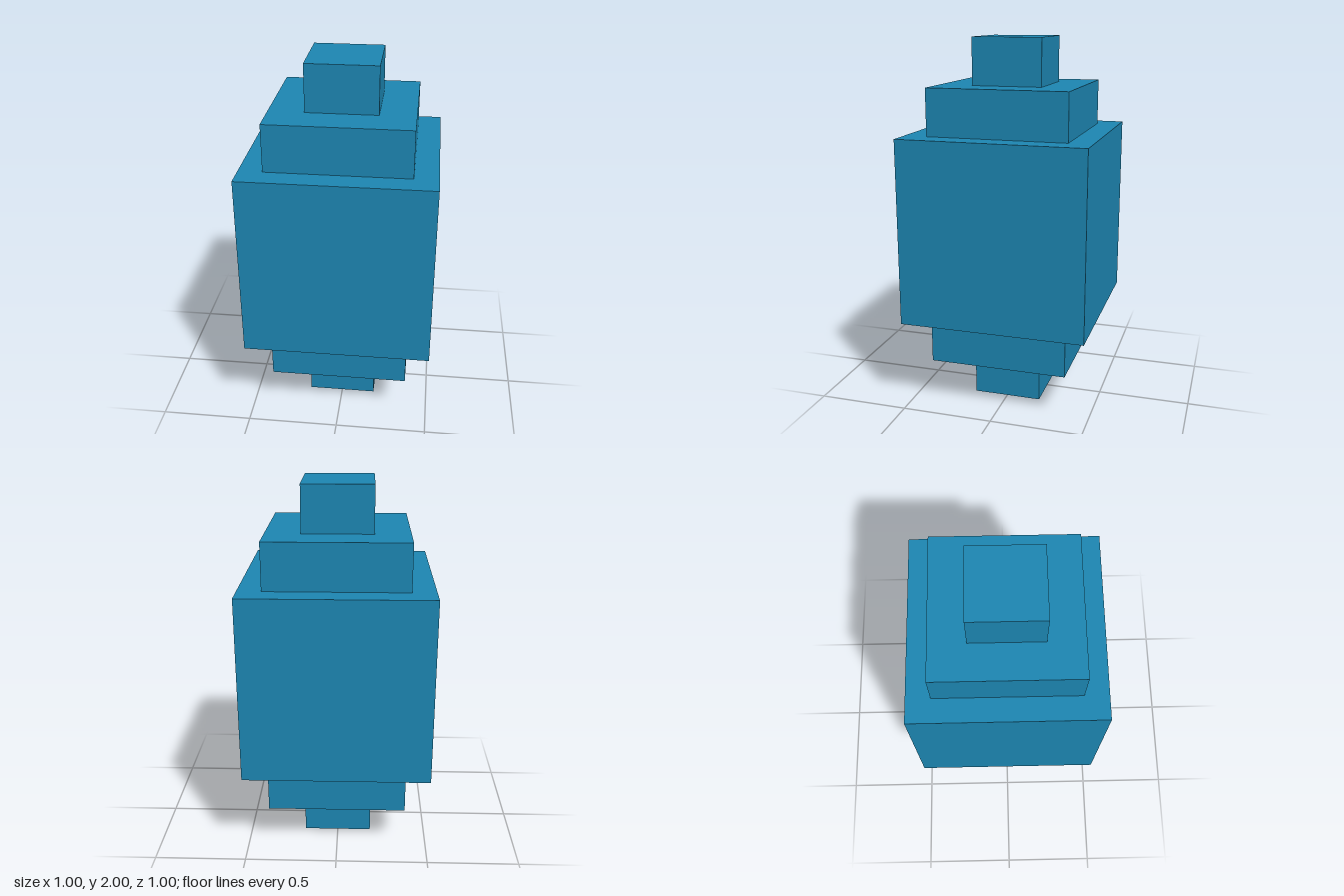
import * as THREE from 'three';

export function createModel() {
  const model = new THREE.Group();
  model.name = 'steppedCrystal';
  const material = new THREE.MeshStandardMaterial({ color: 0x1d87b3 });

  // Square block standing on the given height
  function addBlock(name, width, height, bottom) {
    const mesh = new THREE.Mesh(new THREE.BoxGeometry(width, height, width), material);
    mesh.name = name;
    mesh.position.y = bottom + height / 2;
    model.add(mesh);
  }

  // Central body
  addBlock('body', 1, 1, 0.5);

  // Steps mirrored above and below the body
  const stepHeight = 0.25;
  [['Step', 0.75], ['Tip', 0.375]].forEach(([part, width], i) => {
    addBlock('upper' + part, width, stepHeight, 1.5 + i * stepHeight);
    addBlock('lower' + part, width, stepHeight, 0.25 - i * stepHeight);
  });

  return model;
}
